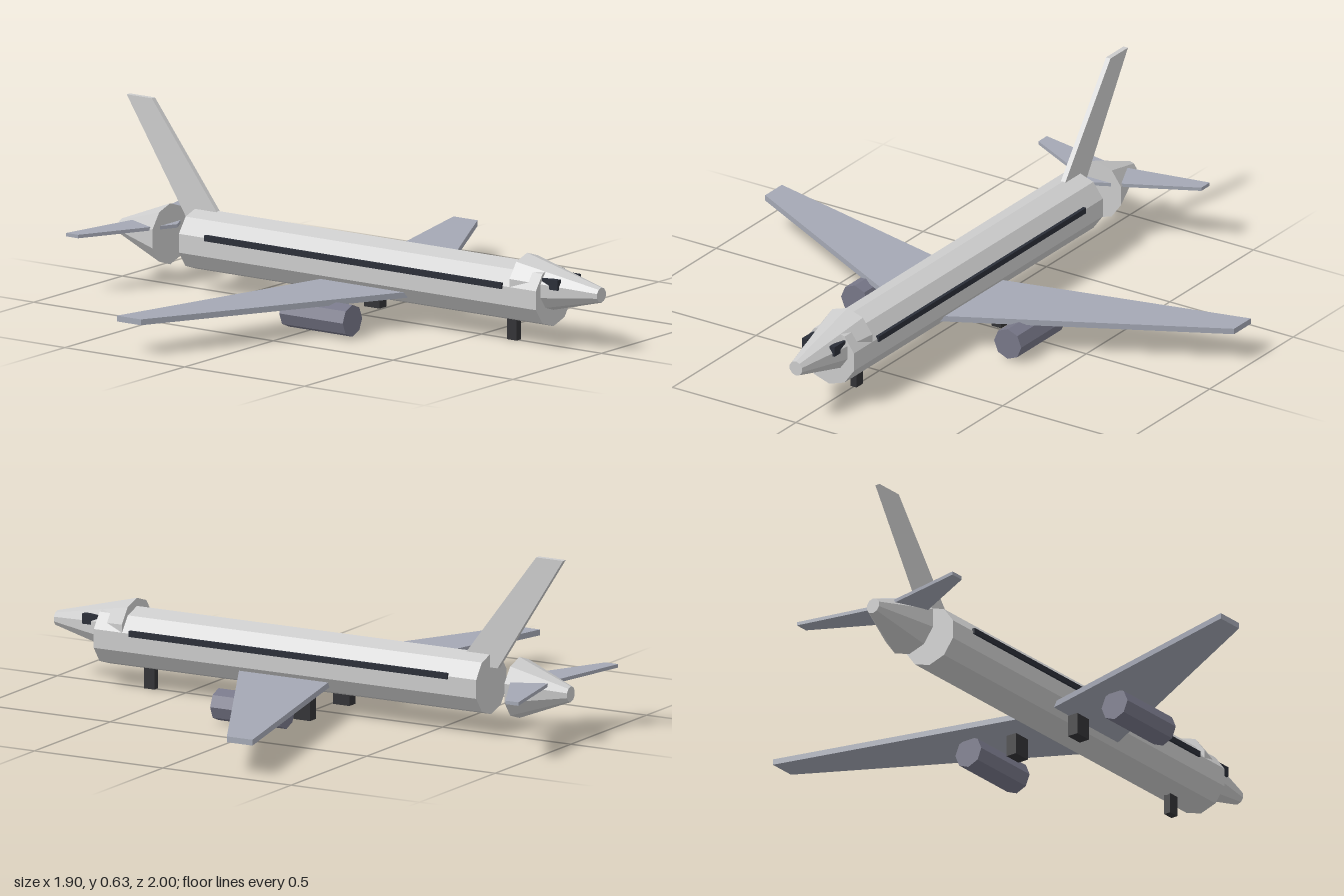
import * as THREE from 'three';

const mat = (color) => new THREE.MeshStandardMaterial({ color, flatShading: true });

export function createModel() {
  const plane = new THREE.Group();
  plane.name = 'airliner';
  const body = mat(0xcccccc), wingMat = mat(0xa4a8b4), engineMat = mat(0x777788);
  const glass = mat(0x2a2e38), gearMat = mat(0x333336);

  const add = (name, geometry, material, x = 0, y = 0, z = 0) => {
    const mesh = new THREE.Mesh(geometry, material);
    mesh.name = name;
    mesh.position.set(x, y, z);
    plane.add(mesh);
    return mesh;
  };

  // Faceted tube along z, between zBack and zFront
  const tube = (name, rFront, rBack, zFront, zBack, sides, material, x, y) => {
    const g = new THREE.CylinderGeometry(rFront, rBack, zFront - zBack, sides).rotateX(Math.PI / 2);
    return add(name, g, material, x, y, (zFront + zBack) / 2);
  };

  // Flat plate of even thickness from an outline
  const plate = (points, thickness) => {
    const shape = new THREE.Shape(points.map(([a, b]) => new THREE.Vector2(a, b)));
    return new THREE.ExtrudeGeometry(shape, { depth: thickness, bevelEnabled: false })
      .translate(0, 0, -thickness / 2);
  };

  // Mirrored swept wing from its left half, given as [x, z]
  const sweptWing = (name, half, thickness, y) => {
    const right = half.filter(([x]) => x > 0).map(([x, z]) => [-x, z]).reverse();
    const outline = [...half, ...right].map(([x, z]) => [x, -z]);
    add(name, plate(outline, thickness).rotateX(-Math.PI / 2), wingMat, 0, y, 0);
  };

  // Fuselage, nose and tail
  tube('fuselage', 0.105, 0.105, 0.8, -0.69, 10, body, 0, 0.172);
  tube('noseCone', 0.026, 0.105, 1, 0.69, 10, body, 0, 0.2);
  tube('tailCone', 0.105, 0.027, -0.8, -1, 10, body, 0, 0.172);

  // Wings and tailplane
  sweptWing('wings', [[0, 0.288], [0.95, -0.22], [0.95, -0.32], [0, -0.085]], 0.02, 0.115);
  sweptWing('tailplane', [[0, -0.77], [0.33, -0.94], [0.33, -0.99], [0, -0.925]], 0.012, 0.203);

  // Fin
  const fin = [[-0.565, 0.23], [-0.72, 0.23], [-0.975, 0.63], [-0.87, 0.63]];
  add('fin', plate(fin, 0.018).rotateY(-Math.PI / 2), body);

  // Paired parts
  for (const [side, s] of [['left', 1], ['right', -1]]) {
    tube(side + 'Engine', 0.055, 0.055, 0.19, -0.075, 8, engineMat, s * 0.31, 0.06);
    add(side + 'WindowStrip', new THREE.BoxGeometry(0.012, 0.02, 1.24), glass, s * 0.101, 0.205, 0.04);
    add(side + 'CockpitWindow', new THREE.BoxGeometry(0.02, 0.035, 0.07), glass, s * 0.056, 0.226, 0.83);
    add(side + 'MainGear', new THREE.BoxGeometry(0.04, 0.075, 0.065), gearMat, s * 0.13, 0.0375, -0.04);
  }
  add('noseGear', new THREE.BoxGeometry(0.025, 0.08, 0.04), gearMat, 0, 0.04, 0.635);

  return plane;
}
